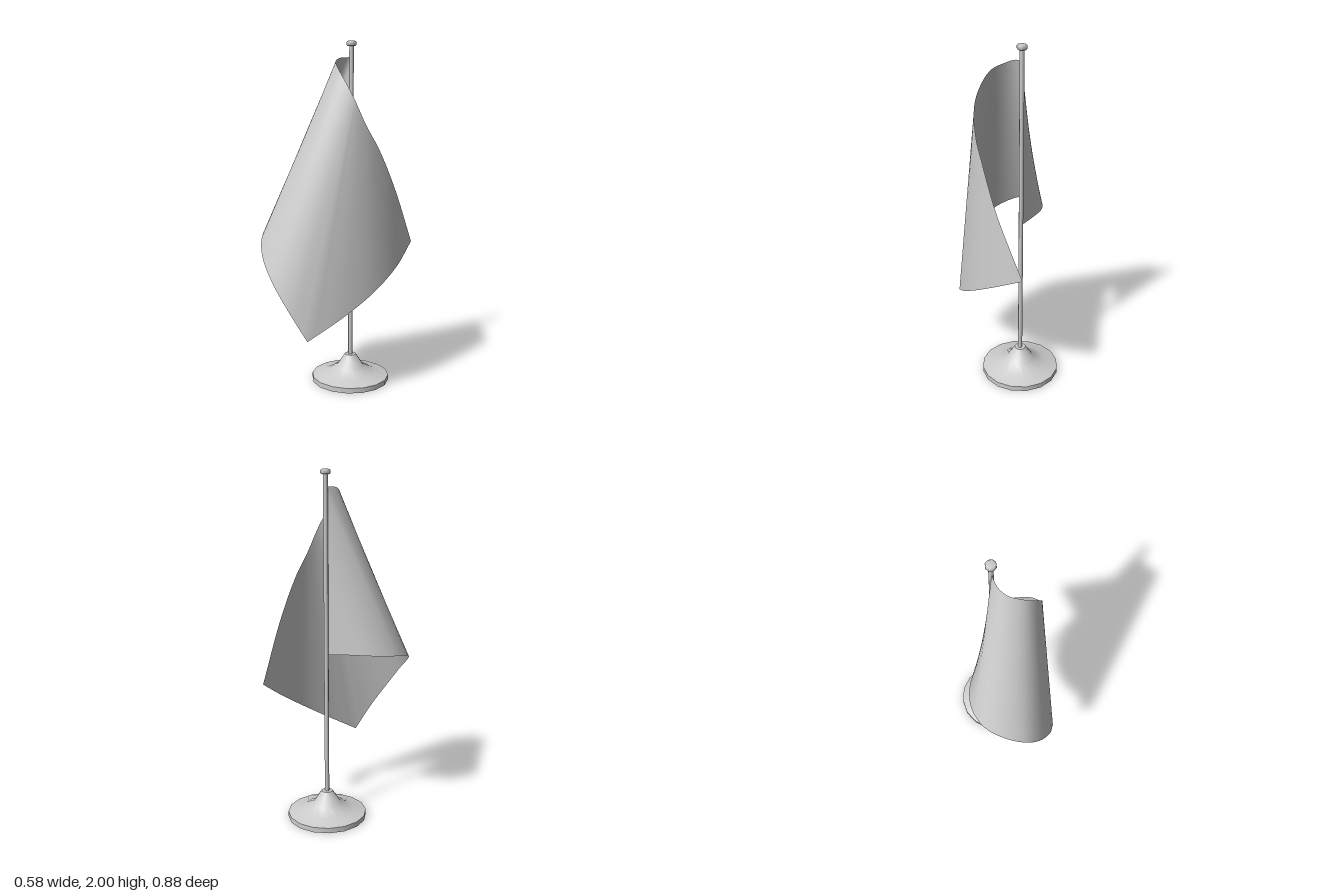
import * as THREE from 'three';

const v = (x, y, z) => new THREE.Vector3(x, y, z);
const curve = (pts) => new THREE.CatmullRomCurve3(pts.map((p) => v(...p)), false, 'centripetal');

// Border curves of the draped cloth
const hoistTop = v(0.01, 1.91, -0.12);
const hoistBottom = v(0.01, 0.98, -0.12);
const topEdge = curve([
  [0.01, 1.91, -0.12], [0.002, 1.905, -0.05], [0.025, 1.885, 0.0], [0.1, 1.84, 0.045], [0.2, 1.7, 0.03],
  [0.24, 1.53, -0.04], [0.25, 1.41, -0.12], [0.247, 1.18, -0.25], [0.2, 0.84, -0.44],
]);
const bottomEdge = curve([
  [0.01, 0.98, -0.12], [-0.1, 0.99, -0.08], [-0.2, 0.99, -0.02], [-0.27, 0.98, 0.08], [-0.29, 0.97, 0.18],
  [-0.27, 0.95, 0.27], [-0.2, 0.9, 0.36], [-0.1, 0.82, 0.425], [0, 0.7, 0.435], [0.1, 0.55, 0.4], [0.18, 0.38, 0.33],
]);
const flyEdge = curve([
  [0.18, 0.38, 0.33], [0.25, 0.493, 0.14], [0.288, 0.61, -0.055], [0.272, 0.725, -0.247], [0.2, 0.84, -0.44],
]);

// Cloth curls about diagonal straight lines, each joining two border points
function clothGeometry() {
  const lines = [];
  const foldAtHoist = 0.33, foldAtFly = 0.31;
  const n = 20, cols = 24;
  for (let i = 0; i < n; i++) { // from the hoist to the bottom edge
    const t = i / n;
    lines.push([hoistBottom.clone().lerp(hoistTop, t), bottomEdge.getPointAt(t * foldAtHoist)]);
  }
  for (let i = 0; i < n; i++) { // from the top edge to the bottom edge
    const t = i / n;
    lines.push([topEdge.getPointAt(t * foldAtFly), bottomEdge.getPointAt(foldAtHoist + t * (1 - foldAtHoist))]);
  }
  for (let i = 0; i <= n; i++) { // from the top edge to the fly edge
    const t = i / n;
    lines.push([topEdge.getPointAt(foldAtFly + (1 - foldAtFly) * t * t), flyEdge.getPointAt(t)]);
  }
  const pos = [], index = [];
  lines.forEach(([a, b], r) => {
    for (let c = 0; c <= cols; c++) {
      pos.push(...a.clone().lerp(b, c / cols).toArray());
      if (r < lines.length - 1 && c < cols) {
        const k = r * (cols + 1) + c, m = k + cols + 1;
        index.push(k, k + 1, m, k + 1, m + 1, m);
      }
    }
  });
  const g = new THREE.BufferGeometry();
  g.setAttribute('position', new THREE.Float32BufferAttribute(pos, 3));
  g.setIndex(index);
  g.computeVertexNormals();
  return g;
}

export function createModel() {
  const group = new THREE.Group();
  const grey = new THREE.MeshStandardMaterial({ color: 0xcccccc, side: THREE.DoubleSide });
  grey.name = 'light grey';

  const add = (name, geometry, x = 0, y = 0, z = 0) => {
    const mesh = new THREE.Mesh(geometry, grey);
    mesh.name = name;
    mesh.position.set(x, y, z);
    group.add(mesh);
  };
  const px = 0.011, pz = -0.127;
  const lathe = (pts, sides) => new THREE.LatheGeometry(pts.map((p) => new THREE.Vector2(...p)), sides);

  // Stand: thin disc with a flared cone on top
  add('baseDisc', new THREE.CylinderGeometry(0.23, 0.23, 0.03, 16), px, 0.015, pz);
  add('baseCone', lathe([[0.23, 0.03], [0.153, 0.048], [0.08, 0.085], [0.033, 0.157]], 16), px, 0, pz);
  add('baseCollar', new THREE.CircleGeometry(0.033, 16).rotateX(-Math.PI / 2), px, 0.157, pz);

  // Pole and its end knob
  add('pole', new THREE.CylinderGeometry(0.013, 0.013, 1.84, 8), px, 1.06, pz);
  add('knob', lathe([[0, 1.972], [0.022, 1.972], [0.028, 1.978], [0.028, 1.994], [0.022, 2], [0, 2]], 8), px, 0, pz);

  // Hanging cloth
  add('flag', clothGeometry());
  return group;
}
